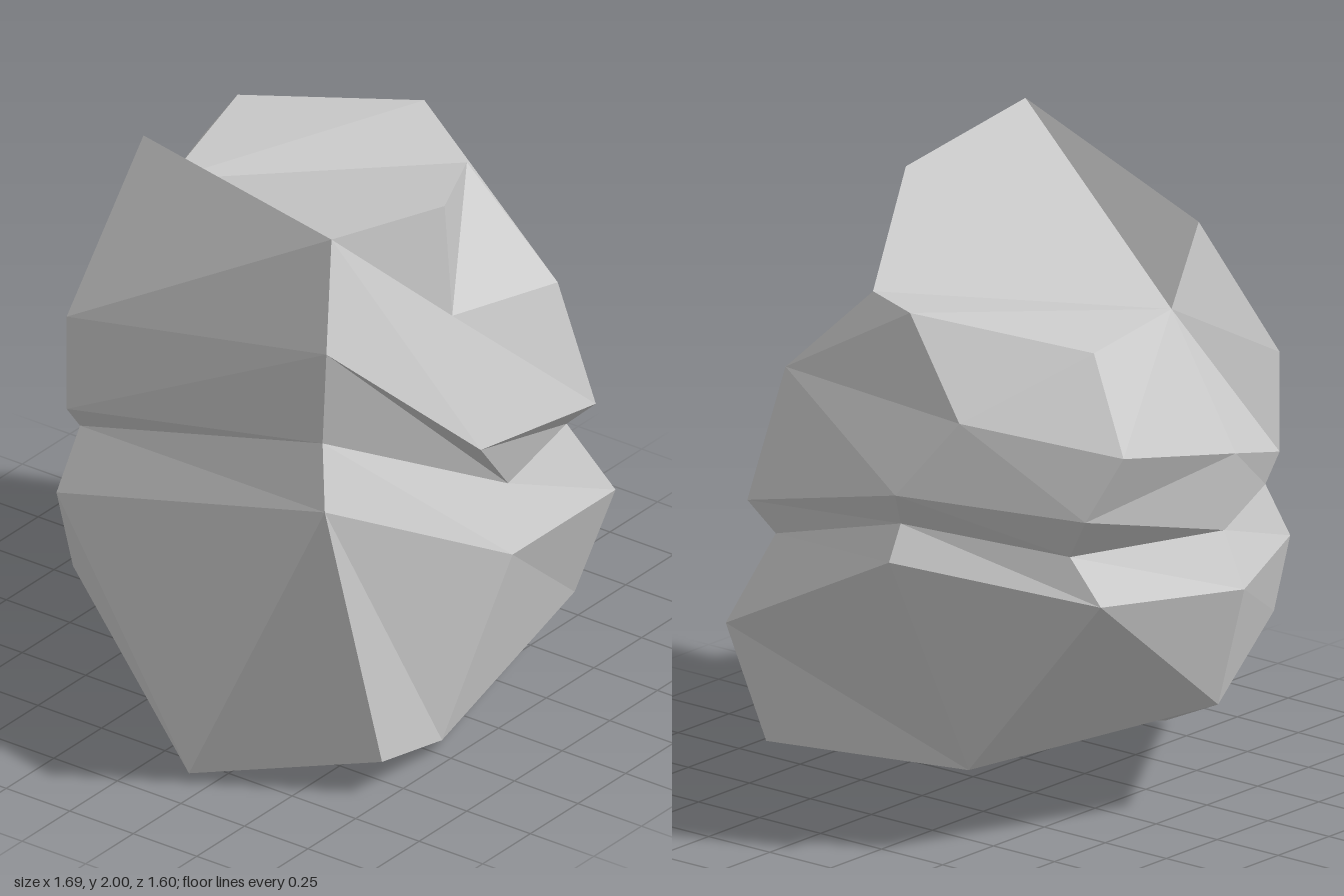
import * as THREE from 'three';

// Cross-section loops, from the bottom up. Each runs counter-clockwise seen from above:
// front left corner, front, front right, side, back right, back, back left.
const base = [[-0.585, 0.125, 0.73], [-0.23, 0.04, 0.70], [0.585, 0.19, 0.61], [0.43, 0.20, -0.09],
  [0.43, 0.20, -0.09], [-0.185, 0.37, -0.60], [-0.70, 0.51, -0.40], [-0.825, 0, 0.15]];
const lip = [[-0.845, 1.12, 0.70], [0.02, 0.625, 0.79], [0.64, 0.57, 0.73], [0.81, 0.98, -0.08],
  [0.50, 0.88, -0.69], [-0.17, 0.78, -0.72], [-0.72, 0.765, -0.45]];
const groove = [[-0.75, 1.30, 0.62], [0.13, 0.80, 0.69], [0.49, 0.845, 0.65], [0.74, 1.09, -0.07],
  [0.52, 1.03, -0.58], [-0.18, 0.955, -0.63], [-0.61, 0.96, -0.44]];
const overhang = [[-0.85, 1.69, 0.71], [-0.16, 1.08, 0.80], [0.51, 0.94, 0.75], [0.84, 1.22, -0.13],
  [0.60, 1.19, -0.71], [-0.20, 1.21, -0.66], [-0.68, 1.05, -0.44]];
const shoulder = [[-0.69, 2.0, 0.61], [-0.15 + 0.04, 1.49, 0.65], [0.43, 1.38, 0.66], [0.74, 1.47, -0.31],
  [0.52, 1.40, -0.80], [-0.16, 1.65, -0.43], [-0.68, 1.38, -0.44]];
// Extra peaks on the broken top: front, front right, right, back right, back left
const peaks = [[-0.15, 1.90, 0.65], [0.42, 1.70, 0.31], [0.61, 1.74, 0], [0.39, 1.67, -0.57], [-0.33, 1.89, -0.40]];

// Quads between two loops
function band(lower, upper) {
  return lower.map((p, i) => {
    const j = (i + 1) % lower.length;
    return [lower[j], upper[j], upper[i], p];
  });
}

// Faceted mesh from polygons, each split as a fan
function facets(name, polygons, material) {
  const positions = [];
  for (const poly of polygons) {
    for (let i = 1; i < poly.length - 1; i++) positions.push(...poly[0], ...poly[i], ...poly[i + 1]);
  }
  const geometry = new THREE.BufferGeometry();
  geometry.setAttribute('position', new THREE.Float32BufferAttribute(positions, 3));
  geometry.computeVertexNormals();
  const mesh = new THREE.Mesh(geometry, material);
  mesh.name = name;
  return mesh;
}

export function createModel() {
  const group = new THREE.Group();
  group.name = 'rock';
  const stone = new THREE.MeshStandardMaterial({ color: 0xcccccc, flatShading: true });
  const pick = (points, faces) => faces.map((f) => f.map((i) => points[i]));

  // Lower block: the base has one more corner than the lip, so the lip's first corner is shared
  const underside = pick(base, [[1, 3, 2], [1, 5, 3], [1, 7, 5], [7, 6, 5], [0, 7, 1]]);
  group.add(facets('lowerBlock', [...band(base, [...lip, lip[0]]), ...underside], stone));

  // Sloping ledge and recessed crack between the blocks
  group.add(facets('ledge', band(lip, groove), stone));
  group.add(facets('crack', band(groove, overhang), stone));

  // Upper block with its notched top (indices 7 to 11 are the peaks)
  const top = pick([...shoulder, ...peaks], [
    [0, 1, 7], [7, 1, 8], [1, 2, 8], [2, 3, 9, 8], [3, 4, 10, 9], [4, 5, 10],
    [5, 6, 11], [6, 0, 11], [0, 7, 5, 11], [7, 8, 5], [8, 9, 5], [9, 10, 5],
  ]);
  group.add(facets('upperBlock', [...band(overhang, shoulder), ...top], stone));
  return group;
}
